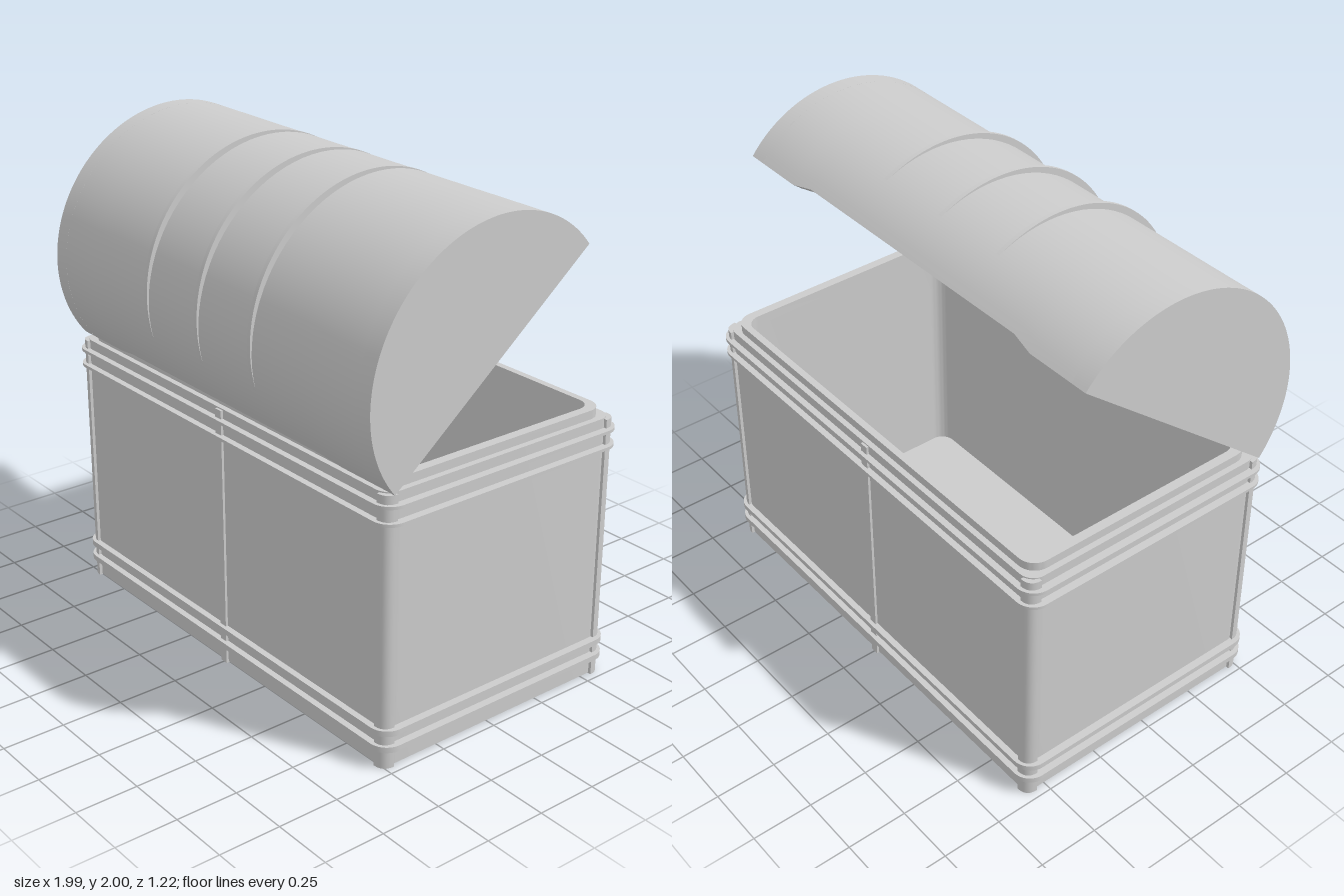
import * as THREE from 'three';
import { toCreasedNormals } from 'three/addons/utils/BufferGeometryUtils.js';

const grey = new THREE.MeshStandardMaterial({ color: 0xcccccc });

function addMesh(parent, name, geometry) {
  const mesh = new THREE.Mesh(toCreasedNormals(geometry, 0.6), grey);
  mesh.name = name;
  parent.add(mesh);
  return mesh;
}

// Rounded rectangle outline, half width w, half depth d, corner radius r
function roundedRect(w, d, r, Type = THREE.Shape) {
  const s = new Type();
  s.moveTo(w, -d + r);
  s.absarc(w - r, d - r, r, 0, Math.PI / 2);
  s.absarc(-w + r, d - r, r, Math.PI / 2, Math.PI);
  s.absarc(-w + r, -d + r, r, Math.PI, Math.PI * 1.5);
  s.absarc(w - r, -d + r, r, Math.PI * 1.5, Math.PI * 2);
  return s;
}

// Extrude a plan outline upwards from y0 to y1
function rise(shape, y0, y1) {
  return new THREE.ExtrudeGeometry(shape, { depth: y1 - y0, bevelEnabled: false, curveSegments: 6 })
    .rotateX(-Math.PI / 2).translate(0, y0, 0);
}

function frame(w, d, r, y0, y1, innerW = 0.9, innerD = 0.495, innerR = 0.06) {
  const s = roundedRect(w, d, r);
  s.holes.push(roundedRect(innerW, innerD, innerR, THREE.Path));
  return rise(s, y0, y1);
}

function buildChest() {
  const chest = new THREE.Group();
  chest.name = 'chest';
  chest.position.z = -0.04;

  // Hollow box, floor and stepped lip
  addMesh(chest, 'walls', frame(0.962, 0.546, 0.06, 0.005, 1.085));
  addMesh(chest, 'floor', rise(roundedRect(0.93, 0.52, 0.05), 0.006, 0.05));
  addMesh(chest, 'lip', frame(0.938, 0.523, 0.07, 1.08, 1.12));

  // Rounded corner posts
  for (const sx of [-1, 1]) for (const sz of [-1, 1]) {
    const x = sx * 0.972, z = sz * 0.556, ix = sx * 0.92, iz = sz * 0.504;
    const s = new THREE.Shape();
    s.moveTo(ix, iz);
    s.lineTo(x, iz);
    s.quadraticCurveTo(x, z, ix, z);
    s.closePath();
    addMesh(chest, 'cornerPost', rise(s, 0, 1.08));
  }

  // Centre straps, front and back
  for (const sz of [-1, 1]) {
    const strap = addMesh(chest, 'centreStrap', new THREE.BoxGeometry(0.036, 1.08, 0.03));
    strap.position.set(0, 0.54, sz * 0.541);
  }

  // Thick hoops near the base, thin hoops near the top
  for (const [y0, y1] of [[0.075, 0.098], [0.142, 0.165], [0.968, 0.98], [1.034, 1.046]])
    addMesh(chest, 'hoop', frame(0.993, 0.572, 0.075, y0, y1, 0.94, 0.52, 0.05));
  return chest;
}

// Closed arched wall whose lower edges rise slightly between the ends
function archGeometry(a, b, thickness) {
  const n = 40, ring = 2 * (n + 1), pos = [], index = [];
  const stations = [[-0.978, 0], [-0.7, 0], [-0.6, 0.045], [0.6, 0.045], [0.7, 0], [0.978, 0]];
  for (const [x, t0] of stations)
    for (let k = 0; k < ring; k++) {
      const outer = k <= n;
      const t = t0 + (Math.PI - 2 * t0) * (outer ? k : ring - 1 - k) / n;
      const inset = outer ? 0 : thickness;
      pos.push(x, (b - inset) * Math.sin(t) + (outer ? 0 : 0.0), (a - inset) * Math.cos(t));
    }
  for (let i = 0; i < stations.length - 1; i++)
    for (let k = 0; k < ring; k++) {
      const p = i * ring + k, q = i * ring + (k + 1) % ring;
      index.push(p, p + ring, q, q, p + ring, q + ring);
    }
  const g = new THREE.BufferGeometry();
  g.setAttribute('position', new THREE.Float32BufferAttribute(pos, 3));
  g.setIndex(index);
  g.computeVertexNormals();
  return g;
}

// Extrude an end-on outline along x, centred on the given x
function slab(shape, x, width) {
  return new THREE.ExtrudeGeometry(shape, { depth: width, bevelEnabled: false, curveSegments: 40 })
    .translate(0, 0, -width / 2).rotateY(Math.PI / 2).translate(x, 0, 0);
}

function buildLid() {
  const a = 0.561, b = 0.53;
  const lid = new THREE.Group();
  lid.name = 'lid';
  lid.position.set(0, 1.445, 0.05);
  lid.rotation.set(0.685, 0, -0.0077, 'ZYX');

  addMesh(lid, 'lidArch', archGeometry(a, b, 0.045));

  // Solid end walls
  const half = new THREE.Shape();
  half.absellipse(0, 0, a, b, 0, Math.PI);
  half.closePath();
  for (const sx of [-1, 1]) addMesh(lid, 'lidEnd', slab(half, sx * 0.945, 0.07));

  // Raised bands that sink into the arch at both ends
  const t = 0.32;
  const band = new THREE.Shape();
  band.absarc(0, 0, 0.556, t, Math.PI - t, false);
  band.absarc(0, 0, 0.52, Math.PI - t, t, true);
  band.closePath();
  for (const x of [-0.325, 0, 0.325]) addMesh(lid, 'lidBand', slab(band, x, 0.018));
  return lid;
}

export function createModel() {
  const model = new THREE.Group();
  model.name = 'openChest';
  model.add(buildChest(), buildLid());
  return model;
}
